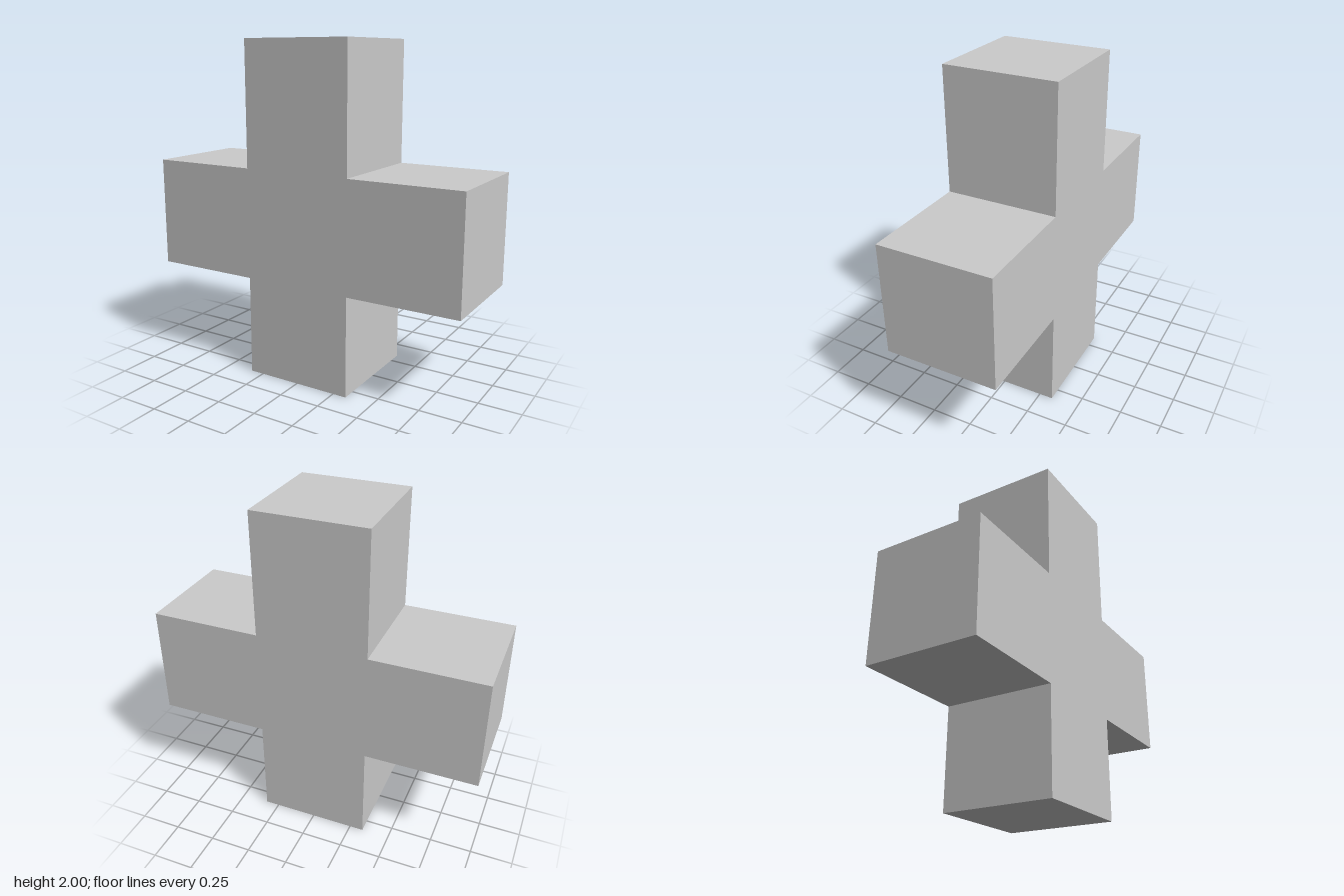
import * as THREE from 'three';

export function createModel() {
  const group = new THREE.Group();
  group.name = 'cross';

  const post = 0.333; // half width of the post, also half the depth
  const armBottom = 0.6, armTop = 1.265;

  // Right half of the outline from bottom to top, then mirrored
  const half = [
    [post, 0], [post, armBottom], [1, armBottom],
    [1, armTop], [post, armTop], [post, 2],
  ];
  const mirrored = half.map(([x, y]) => [-x, y]).reverse();
  const outline = new THREE.Shape([...half, ...mirrored].map(([x, y]) => new THREE.Vector2(x, y)));

  // Solid cross body, centred in depth
  const geometry = new THREE.ExtrudeGeometry(outline, { depth: 2 * post, bevelEnabled: false });
  geometry.translate(0, 0, -post);

  const body = new THREE.Mesh(
    geometry,
    new THREE.MeshStandardMaterial({ color: 0xcccccc, flatShading: true })
  );
  body.name = 'crossBody';
  group.add(body);
  return group;
}
